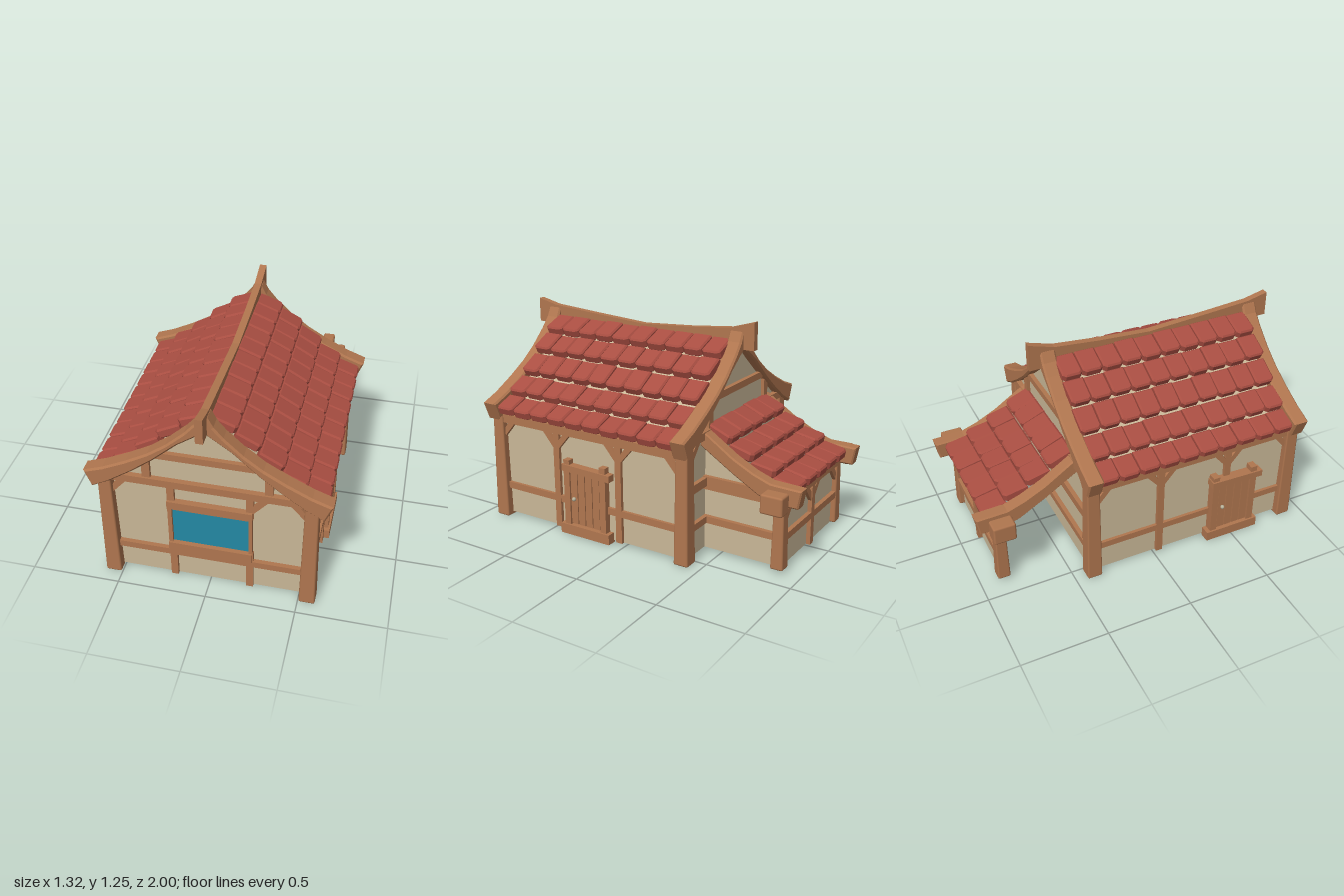
import * as THREE from 'three';
import { RoundedBoxGeometry } from 'three/addons/geometries/RoundedBoxGeometry.js';

const mat = (name, color) => Object.assign(new THREE.MeshStandardMaterial({ color }), { name });

export function createModel() {
  const wood = mat('timber brown', 0xb0764f);
  const plaster = mat('plaster beige', 0xc9b797);
  const clay = mat('clay red', 0xa94e42);
  const glass = mat('window blue', 0x2488a4);
  const metal = mat('handle grey', 0xb9b49c);

  const house = new THREE.Group();
  house.name = 'house';
  const add = (parent, name, geo, material) => {
    const m = new THREE.Mesh(geo, material);
    m.name = name;
    parent.add(m);
    return m;
  };
  const group = (name, parent = house) => {
    const g = new THREE.Group();
    g.name = name;
    parent.add(g);
    return g;
  };
  const box = (parent, name, m, x0, x1, y0, y1, z0, z1) => {
    const geo = new THREE.BoxGeometry(x1 - x0, y1 - y0, z1 - z0);
    geo.translate((x0 + x1) / 2, (y0 + y1) / 2, (z0 + z1) / 2);
    return add(parent, name, geo, m);
  };
  const shapeOf = pts => new THREE.Shape(pts.map(p => new THREE.Vector2(...p)));
  const prism = (pts, depth, bevel = 0) => {
    const geo = new THREE.ExtrudeGeometry(shapeOf(pts), {
      depth: depth - 2 * bevel, bevelEnabled: bevel > 0, bevelSize: bevel, bevelOffset: -bevel,
      bevelThickness: bevel, bevelSegments: 1
    });
    return geo.translate(0, 0, bevel);
  };
  // profile given as [z, y], extruded from x0 to x1
  const sidePrism = (pts, x0, x1, bevel = 0) =>
    prism(pts.map(([z, y]) => [-z, y]).reverse(), x1 - x0, bevel).rotateY(Math.PI / 2).translate(x0, 0, 0);

  // post that narrows towards the top
  const post = (name, x, z, y0, y1, w) => {
    const geo = new RoundedBoxGeometry(w, y1 - y0, w, 1, 0.01);
    const p = geo.attributes.position;
    for (let i = 0; i < p.count; i++) {
      const k = 1 - 0.2 * (p.getY(i) / (y1 - y0) + 0.5);
      p.setX(i, p.getX(i) * k);
      p.setZ(i, p.getZ(i) * k);
    }
    add(house, name, geo.translate(x, (y0 + y1) / 2, z), wood);
  };

  // wall facing: local x runs along the wall, local z points outwards
  const facing = (name, x, z, turn) => {
    const g = group(name);
    g.position.set(x, 0, z);
    g.rotation.y = turn;
    return g;
  };
  const timber = (g, name, x0, x1, y0, y1, d = 0.025) => box(g, name, wood, x0, x1, y0, y1, -0.01, d);
  const brace = (g, x, y, dir) => {
    const pts = [[x, y], [x + dir * 0.085, y + 0.1], [x + dir * 0.04, y + 0.1], [x, y + 0.05]];
    add(g, 'brace', prism(dir > 0 ? pts : pts.reverse(), 0.02), wood);
  };

  // plastered body with gables
  const gable = [[0.55, 0.02], [0.55, 0.65], [0.47, 0.71], [0.28, 0.86], [0.1, 1.01]];
  const outline = [...gable, [0, 1.1], ...gable.map(([x, y]) => [-x, y]).reverse()];
  add(house, 'walls', prism(outline, 1.27).translate(0, 0, -0.4), plaster);
  for (const x of [-0.55, 0.55]) for (const z of [-0.39, 0.88]) post('cornerPost', x, z, 0, 0.7, 0.09);

  // gable timbers, front and back
  const front = facing('frontTimbers', 0, 0.87, 0);
  const back = facing('backTimbers', 0, -0.4, Math.PI);
  for (const g of [front, back]) {
    timber(g, 'lowerRail', -0.52, 0.52, 0.18, 0.22);
    timber(g, 'tieBeam', -0.53, 0.53, 0.675, 0.72, 0.03);
    timber(g, 'collarBeam', -0.27, 0.27, 0.86, 0.9);
    for (const s of [-1, 1]) {
      timber(g, 'gableStrut', s * 0.325 - 0.022, s * 0.325 + 0.022, 0.72, 0.85, 0.02);
      brace(g, s * 0.52, 0.575, -s);
    }
  }
  timber(back, 'middleRail', -0.52, 0.52, 0.4, 0.45);
  brace(front, 0.245, 0.575, 1);
  for (const x of [-0.2, 0.225]) {
    timber(front, 'stud', x - 0.02, x + 0.02, 0.02, 0.28, 0.02);
    timber(front, 'stud', x - 0.02, x + 0.02, 0.53, 0.68, 0.02);
  }
  // window
  timber(front, 'windowSill', -0.22, 0.24, 0.22, 0.28, 0.035);
  timber(front, 'windowHead', -0.22, 0.24, 0.53, 0.58, 0.035);
  timber(front, 'windowJamb', -0.22, -0.197, 0.28, 0.53);
  timber(front, 'windowJamb', 0.22, 0.24, 0.28, 0.53);
  box(front, 'windowPane', glass, -0.2, 0.22, 0.28, 0.53, 0.001, 0.009);

  // side timbers and doors; u is the local position along the wall
  const sideWall = (side, doorZ) => {
    const g = facing(side > 0 ? 'leftTimbers' : 'rightTimbers', side * 0.55, 0, side * Math.PI / 2);
    const u = z => -side * z;
    timber(g, 'eaveBeam', Math.min(u(0.85), u(-0.36)), Math.max(u(0.85), u(-0.36)), 0.6, 0.65, 0.03);
    timber(g, 'lowerRail', Math.min(u(0.85), u(-0.36)), Math.max(u(0.85), u(-0.36)), 0.18, 0.22, 0.018);
    for (const z of [0.46, 0.03]) {
      timber(g, 'stud', u(z) - 0.02, u(z) + 0.02, 0.02, 0.61, 0.02);
      for (const s of [-1, 1]) brace(g, u(z) + s * 0.02, 0.51, s);
    }
    brace(g, u(0.845), 0.51, side);
    brace(g, u(-0.35), 0.51, -side);

    const door = group('door', g);
    door.position.set(u(doorZ), 0, side > 0 ? 0 : 0.01);
    timber(door, 'threshold', -0.17, 0.17, 0.005, 0.065, 0.05);
    timber(door, 'doorBacking', -0.11, 0.11, 0.06, 0.4, 0.02);
    for (const s of [-1, 1]) timber(door, 'doorJamb', s * 0.125 - 0.02, s * 0.125 + 0.02, 0.06, 0.46, 0.04);
    timber(door, 'doorHead', -0.165, 0.165, 0.39, 0.43, 0.05).rotation.z = -0.03;
    for (let i = 0; i < 4; i++) {
      const x = -0.1 + i * 0.051;
      timber(door, 'doorPlank', x, x + 0.046, 0.075, 0.385, 0.035);
    }
    const knob = new THREE.SphereGeometry(0.012, 10, 8).translate(-0.075, 0.23, 0.043);
    add(door, 'doorKnob', knob, metal);
  };
  sideWall(1, 0.25);
  sideWall(-1, 0.5);

  // curved barge boards
  const top = [[0.022, 1.19], [0.05, 1.135], [0.1, 1.075], [0.2, 0.98], [0.3, 0.905], [0.42, 0.835], [0.55, 0.77], [0.658, 0.73]];
  const under = [[0.618, 0.627], [0.52, 0.68], [0.4, 0.765], [0.28, 0.86], [0.14, 0.99], [0, 1.09]];
  const right = [...top, ...under];
  const barge = [...right, ...right.slice(0, -1).reverse().map(([x, y]) => [-x, y])].reverse();
  for (const z of [0.835, -0.445]) add(house, 'bargeBoard', prism(barge, 0.09, 0.01).translate(0, 0, z), wood);

  // sagging ridge beam
  add(house, 'ridgeBeam', sidePrism([[1, 1.09], [0.85, 1.09], [0.25, 1.06], [-0.36, 1.09], [-0.51, 1.09],
    [-0.51, 1.25], [-0.36, 1.205], [-0.1, 1.18], [0.22, 1.16], [0.6, 1.185], [0.87, 1.205], [1, 1.235]], -0.02, 0.02), wood);

  // roof tiles: each row runs from one [out, y] point to the next, overlapping the row below
  const thick = 0.055;
  const tiles = (name, steps, columns, width, x, z, turn) => {
    const roof = facing(name, x, z, turn);
    const w = width / 2 - 0.002, c = width * 0.16;
    const plan = [[-w, -1], [-w, 0], [w, 0], [w, -1], [w - c, -1.12], [c - w, -1.12]];
    for (let r = 0; r + 1 < steps.length; r++) {
      const [z0, y0] = [steps[r][0] - 0.012, steps[r][1] - 0.035];
      const [z1, y1] = steps[r + 1];
      const len = Math.hypot(z1 - z0, y1 - y0), tilt = Math.atan2(y0 - y1, z1 - z0);
      const geo = prism(plan.map(([a, b]) => [a, b * len / 1.12]).reverse(), thick, 0.009).rotateX(-Math.PI / 2);
      for (let i = 0; i < columns; i++) {
        const t = add(roof, 'roofTile', geo, clay);
        const lift = 0.004 * Math.sin(i * 2.7 + r * 1.9);
        t.rotation.x = tilt + lift * 4;
        t.position.set((i - (columns - 1) / 2) * width,
          y0 - thick * Math.cos(tilt) + lift, z0 - thick * Math.sin(tilt));
      }
    }
  };
  const slope = [[0.03, 1.185], [0.16, 1.095], [0.28, 0.995], [0.4, 0.885], [0.52, 0.79], [0.635, 0.71]];
  for (const s of [-1, 1]) tiles('mainRoof', slope, 10, 0.122, 0, 0.24, s * Math.PI / 2);
  tiles('leanToRoof', [[0.42, 0.785], [0.555, 0.69], [0.685, 0.62], [0.815, 0.56], [0.95, 0.495]], 5, 0.137, 0, 0, Math.PI);

  // rear lean-to: rakes, beam, posts, closed on the left and open on the right
  const rake = [[-0.4, 0.64], [-0.4, 0.735], [-0.6, 0.605], [-0.72, 0.545], [-0.82, 0.51], [-1, 0.505],
    [-0.98, 0.4], [-0.85, 0.4], [-0.75, 0.43], [-0.6, 0.515]].reverse();
  for (const s of [-1, 1]) {
    add(house, 'leanToRake', sidePrism(rake, s * 0.372 - 0.037, s * 0.372 + 0.037, 0.008), wood);
    post('leanToPost', s * 0.36, -0.865, 0.02, 0.42, 0.075);
    const end = new RoundedBoxGeometry(0.09, 0.11, 0.13, 1, 0.012);
    add(house, 'beamEnd', end.translate(s * 0.445, 0.425, -0.865), wood);
  }
  box(house, 'leanToBeam', wood, -0.42, 0.42, 0.385, 0.46, -0.9, -0.83);
  add(house, 'leanToSideWall', sidePrism([[-0.4, 0.02], [-0.4, 0.66], [-0.6, 0.54], [-0.85, 0.42], [-0.85, 0.02]].reverse(), 0.33, 0.35), plaster);
  box(house, 'leanToBackWall', plaster, -0.35, 0.35, 0.02, 0.42, -0.87, -0.85);
  const leanSide = facing('leanToSideTimbers', 0.35, 0, Math.PI / 2);
  timber(leanSide, 'lowerRail', 0.4, 0.85, 0.18, 0.22);
  timber(leanSide, 'upperRail', 0.4, 0.85, 0.38, 0.455);
  const leanBack = facing('leanToBackTimbers', 0, -0.87, Math.PI);
  timber(leanBack, 'lowerRail', -0.34, 0.34, 0.18, 0.22);
  timber(leanBack, 'stud', -0.02, 0.02, 0.02, 0.4);
  for (const s of [-1, 1]) {
    brace(leanBack, s * 0.02, 0.29, s);
    brace(leanBack, s * 0.33, 0.29, -s);
  }
  return house;
}
